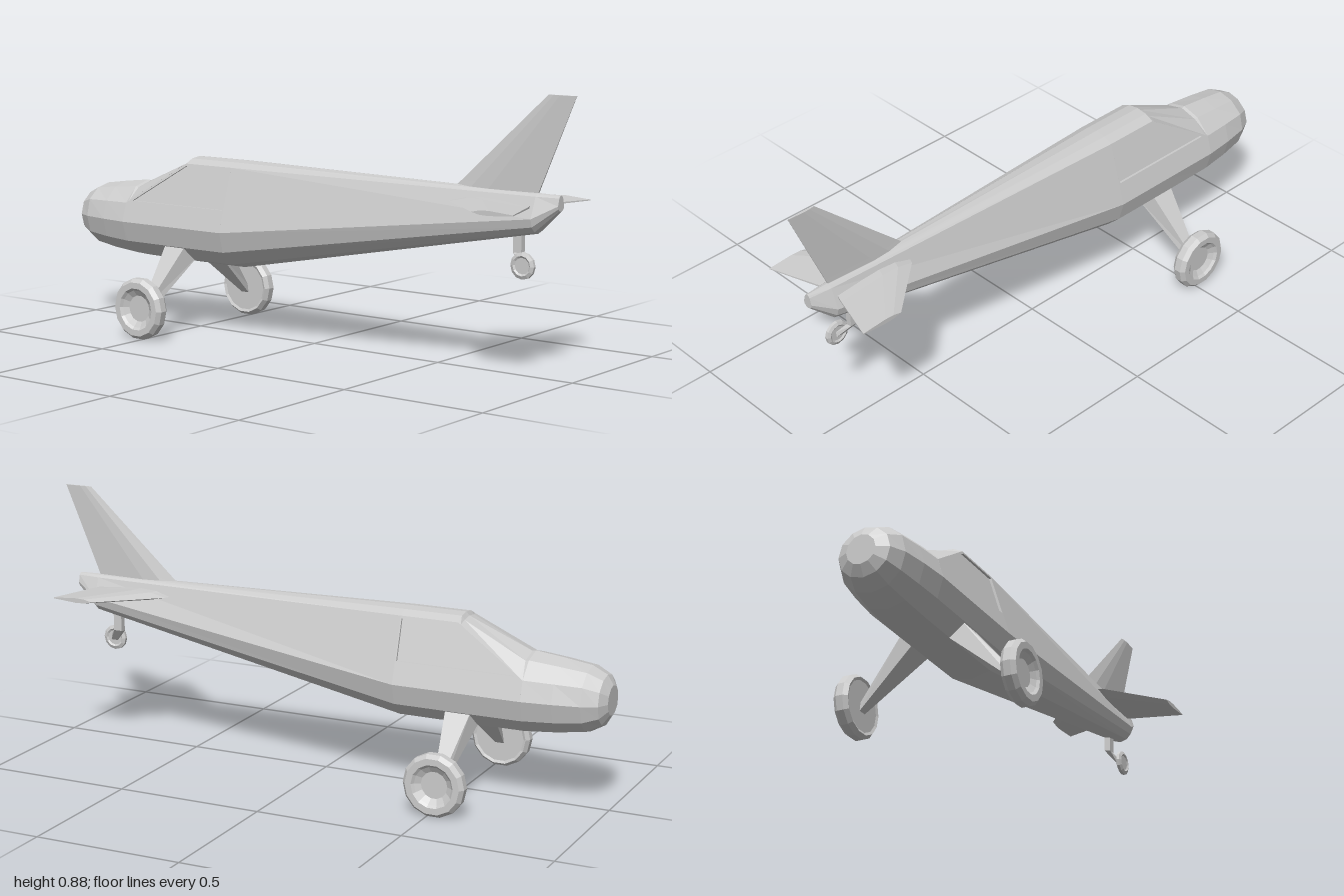
import * as THREE from 'three';

const material = new THREE.MeshStandardMaterial({ color: 0xcccccc, flatShading: true, side: THREE.DoubleSide });

function addMesh(parent, name, geometry) {
  const mesh = new THREE.Mesh(geometry, material);
  mesh.name = name;
  parent.add(mesh);
  return mesh;
}

// Skin over closed loops of [x, y, z] points, with fan caps; skip(i, j) leaves a quad open
function loft(loops, skip = () => false) {
  const n = loops[0].length;
  const tris = [];
  for (let i = 0; i < loops.length - 1; i++) {
    for (let j = 0; j < n; j++) {
      if (skip(i, j)) continue;
      const k = (j + 1) % n;
      const a = loops[i][j], b = loops[i][k], c = loops[i + 1][k], d = loops[i + 1][j];
      tris.push([a, b, c], [a, c, d]);
    }
  }
  const cap = (loop, flip) => {
    const mid = [0, 1, 2].map(c => loop.reduce((s, p) => s + p[c], 0) / n);
    loop.forEach((p, j) => {
      const q = loop[(j + 1) % n];
      tris.push(flip ? [mid, q, p] : [mid, p, q]);
    });
  };
  cap(loops[0], true);
  cap(loops[loops.length - 1], false);
  // Turn all faces outward using the signed volume
  const v = p => new THREE.Vector3(...p);
  const volume = tris.reduce((s, [a, b, c]) => s + v(a).dot(v(b).cross(v(c))), 0);
  if (volume < 0) tris.forEach(t => t.reverse());
  const geometry = new THREE.BufferGeometry();
  geometry.setAttribute('position', new THREE.Float32BufferAttribute(tris.flat(2), 3));
  geometry.computeVertexNormals();
  return geometry;
}

// Twelve-sided body section
function bodySection([z, bottom, w, side, sx, sy, top, dip = 0]) {
  const h = side - bottom;
  const half = [
    [0, bottom, z], [0.5 * w, bottom + 0.13 * h, z], [0.86 * w, bottom + 0.48 * h, z], [w, side, z],
    [sx, sy, z], [sx * 0.55, sy + 0.75 * (top - sy) - dip, z], [0, top - dip, z],
  ];
  return [...half, ...half.slice(1, 6).reverse().map(([x, y]) => [-x, y, z])];
}

// Thin aerofoil section: chord along z, thickness along x or y
function foil(at, z0, z1, t, upright) {
  const profile = [[0, 0], [0.2, 0.85], [0.42, 1], [1, 0.2], [1, -0.2], [0.42, -1], [0.2, -0.85]];
  return profile.map(([c, s]) => {
    const z = z0 + c * (z1 - z0);
    return upright ? [s * t, at, z] : [at, 0.54 + s * t, z];
  });
}

// Wheel with its axle along x, outer face towards +x
function wheel(profile, sides) {
  const geometry = new THREE.LatheGeometry(profile.map(p => new THREE.Vector2(...p)), sides);
  return geometry.rotateZ(-Math.PI / 2);
}

export function createModel() {
  const model = new THREE.Group();
  model.name = 'airplane';

  // Fuselage from nose to tail: z, bottom, half width, side y, shoulder x, shoulder y, top, dip
  const stations = [
    [-1, 0.32, 0.05, 0.367, 0.043, 0.392, 0.418],
    [-0.98, 0.285, 0.088, 0.367, 0.076, 0.41, 0.45],
    [-0.93, 0.257, 0.112, 0.367, 0.098, 0.425, 0.475],
    [-0.84, 0.243, 0.126, 0.366, 0.108, 0.428, 0.488],
    [-0.74, 0.234, 0.135, 0.365, 0.115, 0.43, 0.5],
    [-0.728, 0.233, 0.135, 0.365, 0.113, 0.4375, 0.505, 0.008],
    [-0.51, 0.232, 0.135, 0.365, 0.072, 0.574, 0.596, 0.008],
    [-0.5, 0.232, 0.135, 0.365, 0.07, 0.58, 0.6],
    [-0.3, 0.232, 0.135, 0.365, 0.07, 0.58, 0.6],
    [0.87, 0.455, 0.046, 0.505, 0.019, 0.572, 0.582],
    [0.95, 0.53, 0.018, 0.548, 0.011, 0.572, 0.58],
  ];
  const cabinSide = (i, j) => i >= 4 && i < 8 && (j === 3 || j === 8);
  addMesh(model, 'fuselage', loft(stations.map(bodySection), cabinSide));

  // Cabin sides: sloping panels with a recessed window
  const toShape = (Type, pts) => new Type(pts.map(p => new THREE.Vector2(...p)));
  const windowOutline = [[-0.305, 0.439], [-0.305, 0.572], [-0.498, 0.572], [-0.712, 0.439]];
  const panelShape = toShape(THREE.Shape,
    [[-0.74, 0.365], [-0.3, 0.365], [-0.3, 0.58], [-0.5, 0.58], [-0.74, 0.43]]);
  panelShape.holes.push(toShape(THREE.Path, windowOutline));
  const slope = (geometry) => {
    const p = geometry.attributes.position;
    for (let i = 0; i < p.count; i++) {
      const z = p.getX(i), y = p.getY(i), depth = p.getZ(i);
      p.setXYZ(i, 0.135 - (y - 0.365) * 0.302 + depth - 0.008, y, z);
    }
    // The axis swap mirrors the shape, so reverse each triangle
    const order = geometry.index ? Array.from(geometry.index.array) : [...Array(p.count).keys()];
    geometry.setIndex(order.reverse());
    geometry.computeVertexNormals();
    return geometry;
  };

  // Main wheel profile: radius, offset along the axle
  const tyre = [[0, -0.022], [0.085, -0.022], [0.094, -0.026], [0.105, -0.012], [0.105, 0.012],
    [0.093, 0.026], [0.072, 0.026], [0.064, 0.018], [0.045, 0.006], [0, 0.006]];

  for (const side of [1, -1]) {
    const half = new THREE.Group();
    half.name = side > 0 ? 'leftSide' : 'rightSide';
    half.scale.x = side;
    model.add(half);

    addMesh(half, 'cabinPanel', slope(new THREE.ExtrudeGeometry(panelShape, { depth: 0.008, bevelEnabled: false })));
    addMesh(half, 'sideWindow', slope(new THREE.ShapeGeometry(toShape(THREE.Shape, windowOutline))));

    // Tailplane
    addMesh(half, 'tailplane', loft([
      foil(0.01, 0.56, 0.85, 0.017),
      foil(0.06, 0.58, 0.868, 0.015),
      foil(0.225, 0.77, 0.92, 0.008),
    ]));

    // Landing gear leg, tapering down to the axle
    addMesh(half, 'landingGearLeg', loft([
      [[0.05, 0.262, -0.575], [0.05, 0.262, -0.465], [0.1, 0.309, -0.475], [0.1, 0.309, -0.565]],
      [[0.266, 0.085, -0.535], [0.266, 0.085, -0.503], [0.266, 0.115, -0.507], [0.266, 0.115, -0.531]],
    ]));
    addMesh(half, 'mainWheel', wheel(tyre, 14)).position.set(0.288, 0.106, -0.52);
  }

  // Fin
  addMesh(model, 'fin', loft([
    foil(0.57, 0.55, 0.866, 0.013, true),
    foil(0.6, 0.585, 0.878, 0.012, true),
    foil(0.886, 0.9, 1, 0.004, true),
  ]));

  // Tail wheel and its bent strut
  const strutLoop = (x0, x1, y0, y1, z0, z1) =>
    [[x0, y0, z0], [x1, y1, z0], [x1, y1, z1], [x0, y0, z1]];
  addMesh(model, 'tailWheelStrut', loft([
    strutLoop(0.002, 0.024, 0.48, 0.48, 0.778, 0.808),
    strutLoop(0.002, 0.024, 0.388, 0.392, 0.778, 0.808),
    strutLoop(-0.013, -0.01, 0.365, 0.347, 0.815, 0.84),
  ]));
  const smallTyre = [[0, -0.006], [0.026, -0.006], [0.032, -0.01], [0.043, -0.005],
    [0.043, 0.005], [0.032, 0.01], [0.026, 0.006], [0, 0.006]];
  addMesh(model, 'tailWheel', wheel(smallTyre, 12)).position.set(-0.022, 0.354, 0.83);

  return model;
}
